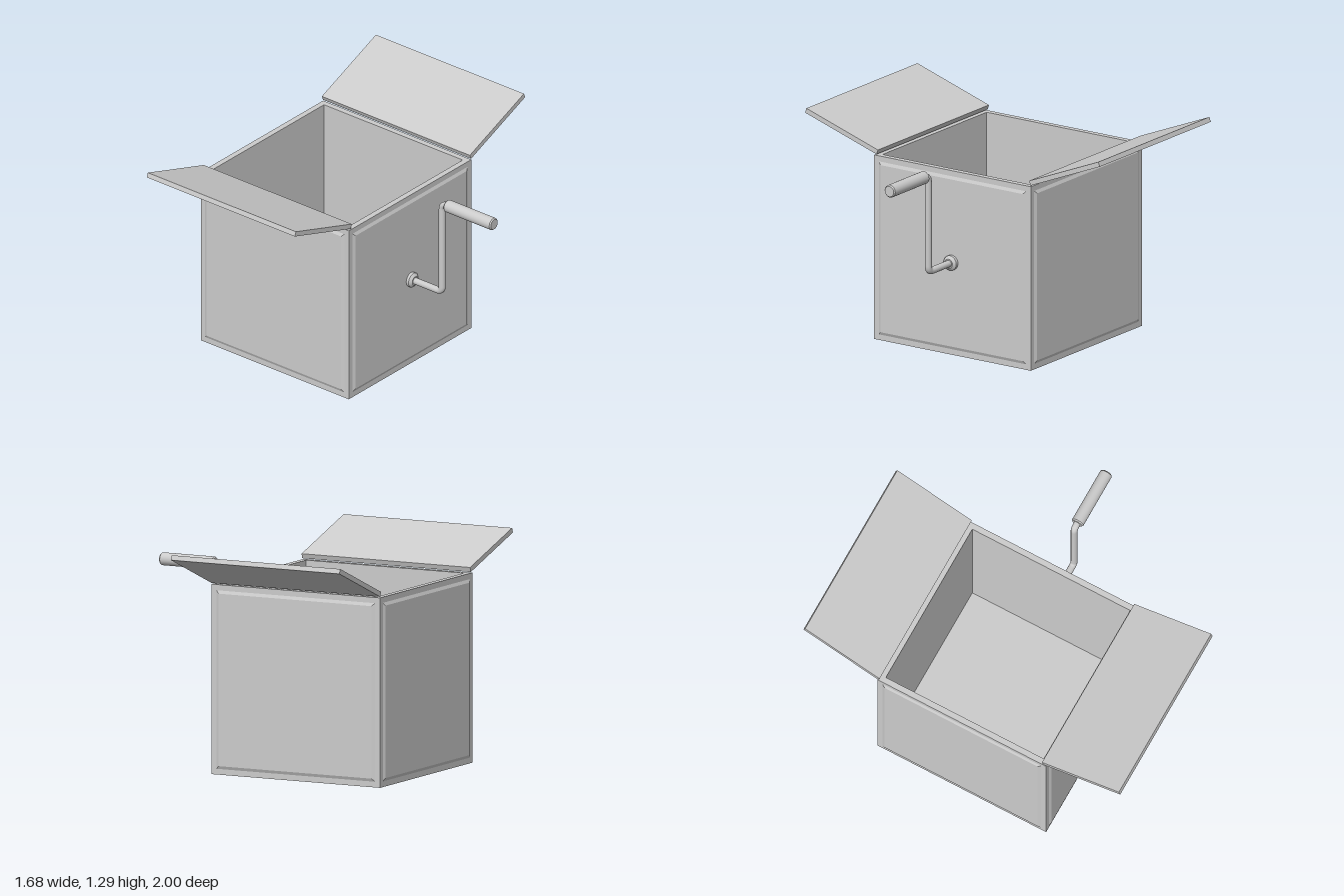
import * as THREE from 'three';

const smooth = new THREE.MeshStandardMaterial({ color: 0xcccccc });
const flat = new THREE.MeshStandardMaterial({ color: 0xcccccc, flatShading: true });

const CX = -0.3025;   // box centre in x
const SIZE = 1.064;   // outer edge of the box
const WALL = 0.034;

function add(parent, name, geometry, material) {
  const mesh = new THREE.Mesh(geometry, material);
  mesh.name = name;
  parent.add(mesh);
  return mesh;
}

// Square outline, used for the wall ring
function square(path, side) {
  const h = side / 2;
  path.moveTo(-h, -h);
  path.lineTo(h, -h);
  path.lineTo(h, h);
  path.lineTo(-h, h);
  path.closePath();
  return path;
}

// Turned part along +x from [x, radius] points, with crisp edges
function turned(points) {
  const parts = points.map(([x, r]) => new THREE.Vector2(r, x));
  return new THREE.LatheGeometry(parts, 24).rotateZ(-Math.PI / 2);
}

function createBox() {
  const box = new THREE.Group();
  box.name = 'box';
  box.position.x = CX;

  // Four walls as one hollow ring, open at the top
  const ring = square(new THREE.Shape(), SIZE);
  ring.holes.push(square(new THREE.Path(), SIZE - 2 * WALL));
  const walls = new THREE.ExtrudeGeometry(ring, { depth: SIZE, bevelEnabled: false });
  add(box, 'walls', walls.rotateX(-Math.PI / 2), flat);

  const inner = SIZE - 2 * WALL;
  add(box, 'floor', new THREE.BoxGeometry(inner, WALL, inner), flat).position.y = WALL / 2;

  // Slightly raised panel with bevelled edges on every side
  const raise = 0.008;
  const panel = new THREE.CylinderGeometry(0.966 / Math.SQRT2, 1.0 / Math.SQRT2, raise, 4)
    .rotateY(Math.PI / 4)
    .rotateX(Math.PI / 2)
    .translate(0, SIZE / 2, SIZE / 2 + raise / 2);
  ['front', 'left', 'back', 'right'].forEach((side, i) => {
    add(box, side + 'Panel', panel, flat).rotation.y = i * Math.PI / 2;
  });
  return box;
}

// Lid flap hinged at its lower inner edge; dir is +1 for front, -1 for back
function createFlap(name, dir, hingeZ, length, angle) {
  const thickness = 0.028;
  const geometry = new THREE.BoxGeometry(SIZE, thickness, length)
    .translate(0, thickness / 2, dir * length / 2);
  const flap = new THREE.Mesh(geometry, flat);
  flap.name = name;
  flap.position.set(CX, 1.07, hingeZ);
  flap.rotation.x = -dir * angle;
  return flap;
}

function createCrank() {
  const crank = new THREE.Group();
  crank.name = 'crank';
  const low = 0.536, high = 1.092, armX = 0.461, bend = 0.036;
  const v = (x, y) => new THREE.Vector3(x, y, 0);

  // Bent rod with two rounded corners
  const path = new THREE.CurvePath();
  path.add(new THREE.LineCurve3(v(0.23, low), v(armX - bend, low)));
  path.add(new THREE.QuadraticBezierCurve3(v(armX - bend, low), v(armX, low), v(armX, low + bend)));
  path.add(new THREE.LineCurve3(v(armX, low + bend), v(armX, high - bend)));
  path.add(new THREE.QuadraticBezierCurve3(v(armX, high - bend), v(armX, high), v(armX + bend, high)));
  path.add(new THREE.LineCurve3(v(armX + bend, high), v(0.52, high)));
  add(crank, 'rod', new THREE.TubeGeometry(path, 120, 0.0195, 16), smooth);

  // Boss where the rod enters the box (repeated points keep the edges sharp)
  const boss = turned([[0.23, 0], [0.23, 0.043], [0.23, 0.043], [0.254, 0.043],
    [0.254, 0.043], [0.267, 0.026], [0.267, 0.026], [0.267, 0]]);
  add(crank, 'boss', boss, smooth).position.y = low;

  // Grip with lightly chamfered ends
  const grip = turned([[0.495, 0], [0.495, 0.03], [0.495, 0.03], [0.502, 0.036], [0.502, 0.036],
    [0.828, 0.036], [0.828, 0.036], [0.835, 0.03], [0.835, 0.03], [0.835, 0]]);
  add(crank, 'grip', grip, smooth).position.y = high;
  return crank;
}

export function createModel() {
  const model = new THREE.Group();
  model.name = 'crankBox';
  model.add(
    createBox(),
    createFlap('frontFlap', 1, 0.515, 0.51, 0.313),
    createFlap('backFlap', -1, -0.53, 0.507, 0.385),
    createCrank()
  );
  return model;
}
